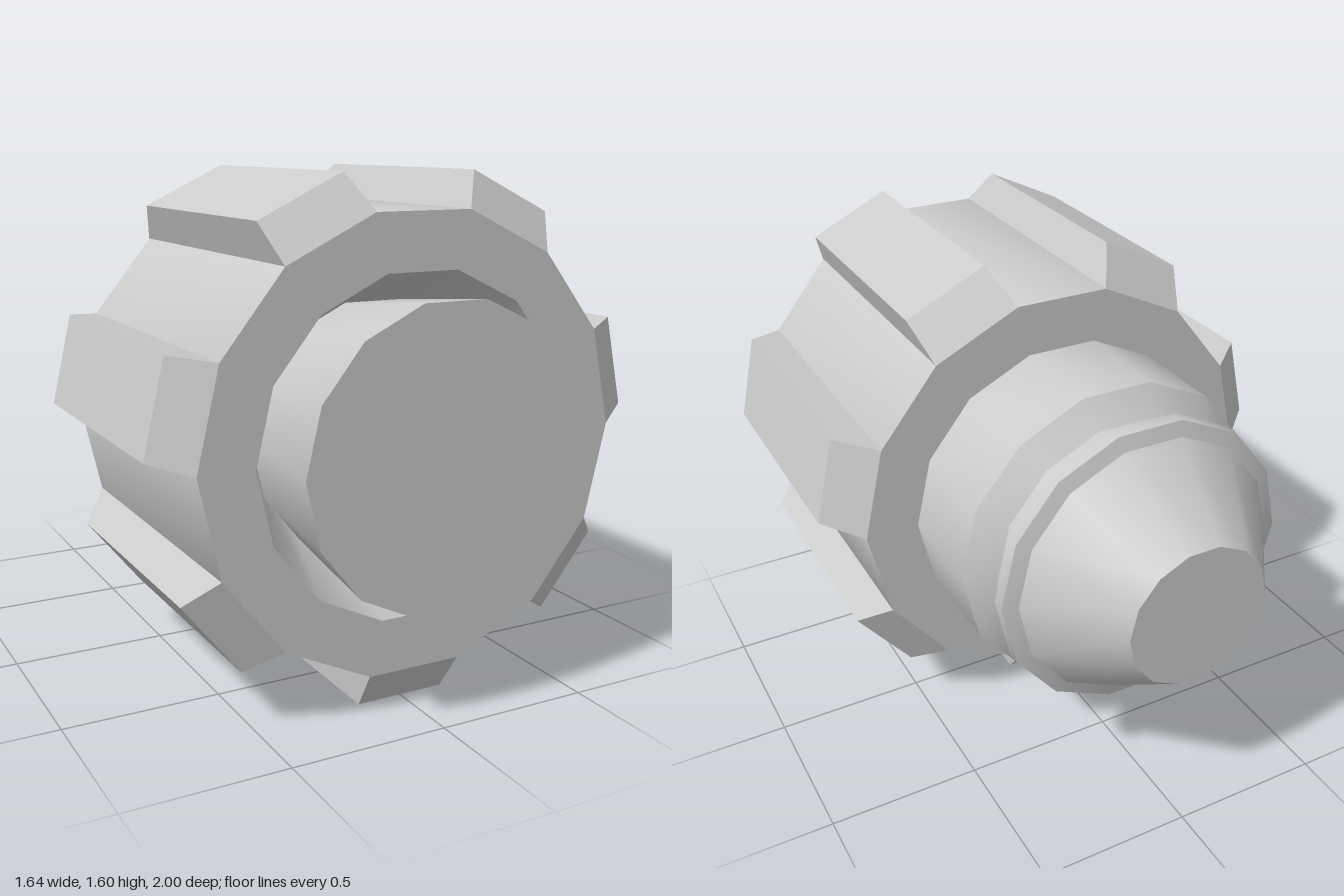
import * as THREE from 'three';
import { toCreasedNormals } from 'three/addons/utils/BufferGeometryUtils.js';

const TEETH = 7;
const SIDES = 14;
const AXIS_Y = 0.807;

const material = new THREE.MeshStandardMaterial({ color: 0xcccccc });

// 14-sided solid turned about the z axis; profile is [radius, z], back to front
function turned(name, profile) {
  const points = profile.map(([r, z]) => new THREE.Vector2(r, z));
  const lathe = new THREE.LatheGeometry(points, SIDES, Math.PI / SIDES);
  lathe.rotateX(Math.PI / 2);
  const mesh = new THREE.Mesh(toCreasedNormals(lathe, 0.5), material);
  mesh.name = name;
  return mesh;
}

// Tooth pointing down, with sloped ends and slightly narrowed tip
function toothGeometry() {
  const geometry = new THREE.BoxGeometry(1, 1, 1);
  const p = geometry.attributes.position;
  for (let i = 0; i < p.count; i++) {
    const tip = p.getY(i) < 0;
    const front = p.getZ(i) > 0;
    const x = Math.sign(p.getX(i)) * (tip ? 0.147 : 0.156);
    const y = tip ? -0.807 : -0.682;
    const z = front ? (tip ? 0.757 : 0.836) : (tip ? -0.073 : -0.18);
    p.setXYZ(i, x, y, z);
  }
  return toCreasedNormals(geometry, 0.3);
}

export function createModel() {
  const model = new THREE.Group();
  const gear = new THREE.Group();
  gear.name = 'gear';
  gear.position.y = AXIS_Y;
  model.add(gear);

  // Gear hub with a tapering recess in its front
  gear.add(turned('hub', [
    [0.5, -0.18], [0.7, -0.18], [0.7, 0.836], [0.525, 0.836], [0.405, 0.55],
  ]));

  // Flared plug standing out of the recess
  gear.add(turned('frontPlug', [[0.405, 0.55], [0.46, 1], [0, 1]]));

  // Rear shaft: nose cone, collar, neck and shoulder
  gear.add(turned('rearShaft', [
    [0, -1], [0.234, -1], [0.44, -0.72], [0.488, -0.705], [0.488, -0.66],
    [0.44, -0.645], [0.44, -0.58], [0.525, -0.515], [0.525, -0.18],
  ]));

  // Ring of teeth
  const geometry = toothGeometry();
  for (let i = 0; i < TEETH; i++) {
    const tooth = new THREE.Mesh(geometry, material);
    tooth.name = `tooth${i + 1}`;
    tooth.rotation.z = (i * Math.PI * 2) / TEETH;
    gear.add(tooth);
  }
  return model;
}
